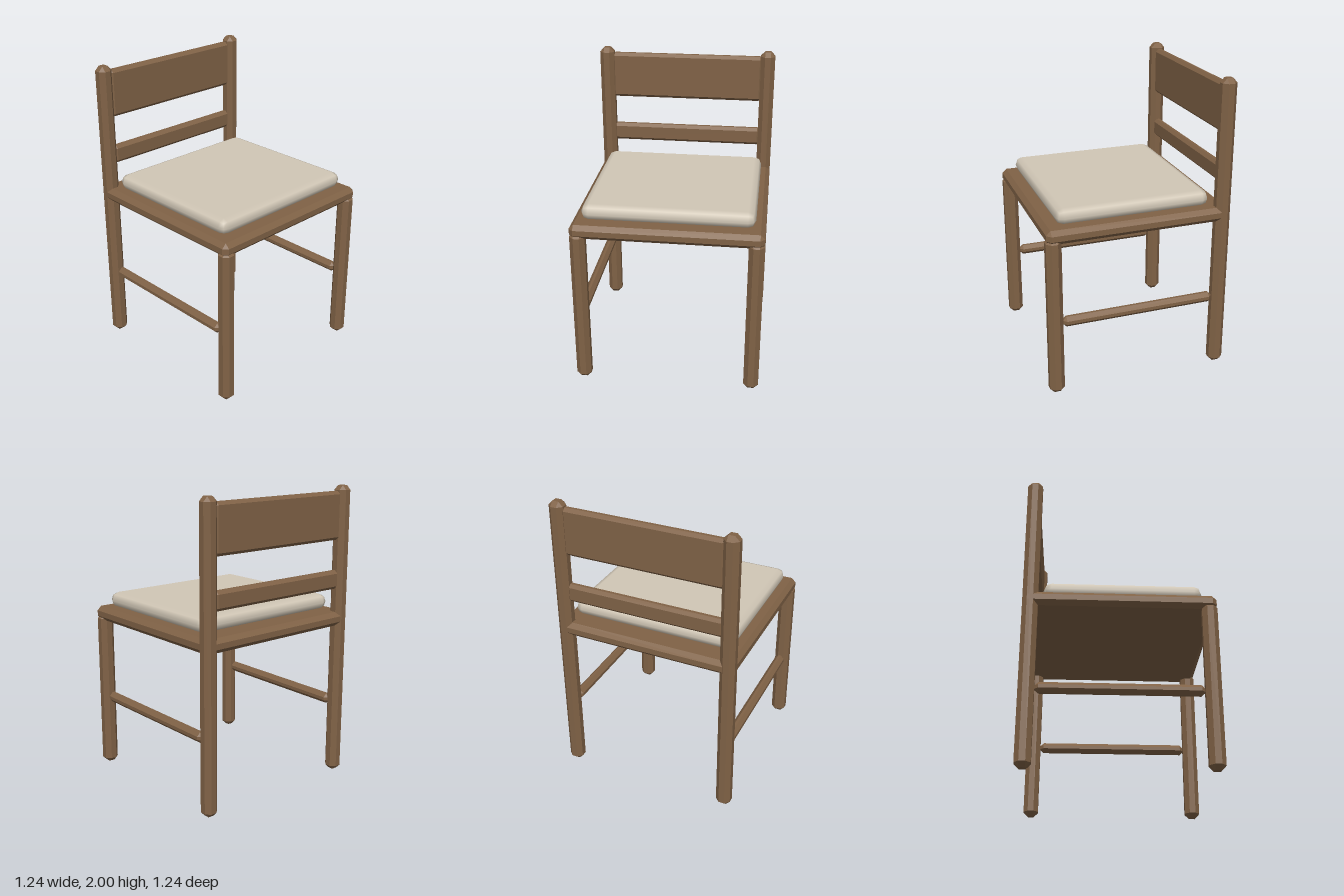
import * as THREE from 'three';
import { ConvexGeometry } from 'three/addons/geometries/ConvexGeometry.js';
import { RoundedBoxGeometry } from 'three/addons/geometries/RoundedBoxGeometry.js';

const wood = new THREE.MeshStandardMaterial({ color: 0x806246, flatShading: true });
const fabric = new THREE.MeshStandardMaterial({ color: 0xd1c7b6 });

// Box with every edge and corner cut at 45 degrees, given by its extents
function chamferedBox(name, [x0, x1], [y0, y1], [z0, z1], cut) {
  const h = [(x1 - x0) / 2, (y1 - y0) / 2, (z1 - z0) / 2];
  const points = [];
  for (const sx of [-1, 1]) for (const sy of [-1, 1]) for (const sz of [-1, 1]) {
    const s = [sx, sy, sz];
    // three points per corner, one lying on each adjoining face
    for (let face = 0; face < 3; face++) {
      points.push(new THREE.Vector3(...s.map((v, i) => v * (h[i] - (i === face ? 0 : cut)))));
    }
  }
  const mesh = new THREE.Mesh(new ConvexGeometry(points), wood);
  mesh.position.set((x0 + x1) / 2, (y0 + y1) / 2, (z0 + z1) / 2);
  mesh.name = name;
  return mesh;
}

export function createModel() {
  const chair = new THREE.Group();
  chair.name = 'chair';

  // Legs and side stretchers, mirrored left and right
  for (const [side, s] of [['left', 1], ['right', -1]]) {
    const span = (a, b) => (s > 0 ? [a, b] : [-b, -a]);
    chair.add(
      chamferedBox(side + 'BackLeg', span(0.52, 0.62), [0, 2], [-0.62, -0.52], 0.03),
      chamferedBox(side + 'FrontLeg', span(0.52, 0.62), [0, 1.1], [0.52, 0.62], 0.03),
      chamferedBox(side + 'Stretcher', span(0.537, 0.603), [0.47, 0.54], [-0.52, 0.52], 0.024)
    );
  }

  // Seat board
  chair.add(chamferedBox('seat', [-0.62, 0.62], [1.06, 1.155], [-0.617, 0.617], 0.029));

  // Back rest panel and lower slat between the posts
  chair.add(
    chamferedBox('backPanel', [-0.535, 0.535], [1.645, 1.965], [-0.6, -0.54], 0.02),
    chamferedBox('backSlat', [-0.535, 0.535], [1.315, 1.44], [-0.6, -0.54], 0.02)
  );

  // Soft cushion
  const cushion = new THREE.Mesh(new RoundedBoxGeometry(1.115, 0.105, 1.025, 1, 0.05), fabric);
  cushion.position.set(0, 1.207, 0.022);
  cushion.name = 'cushion';
  chair.add(cushion);

  return chair;
}
